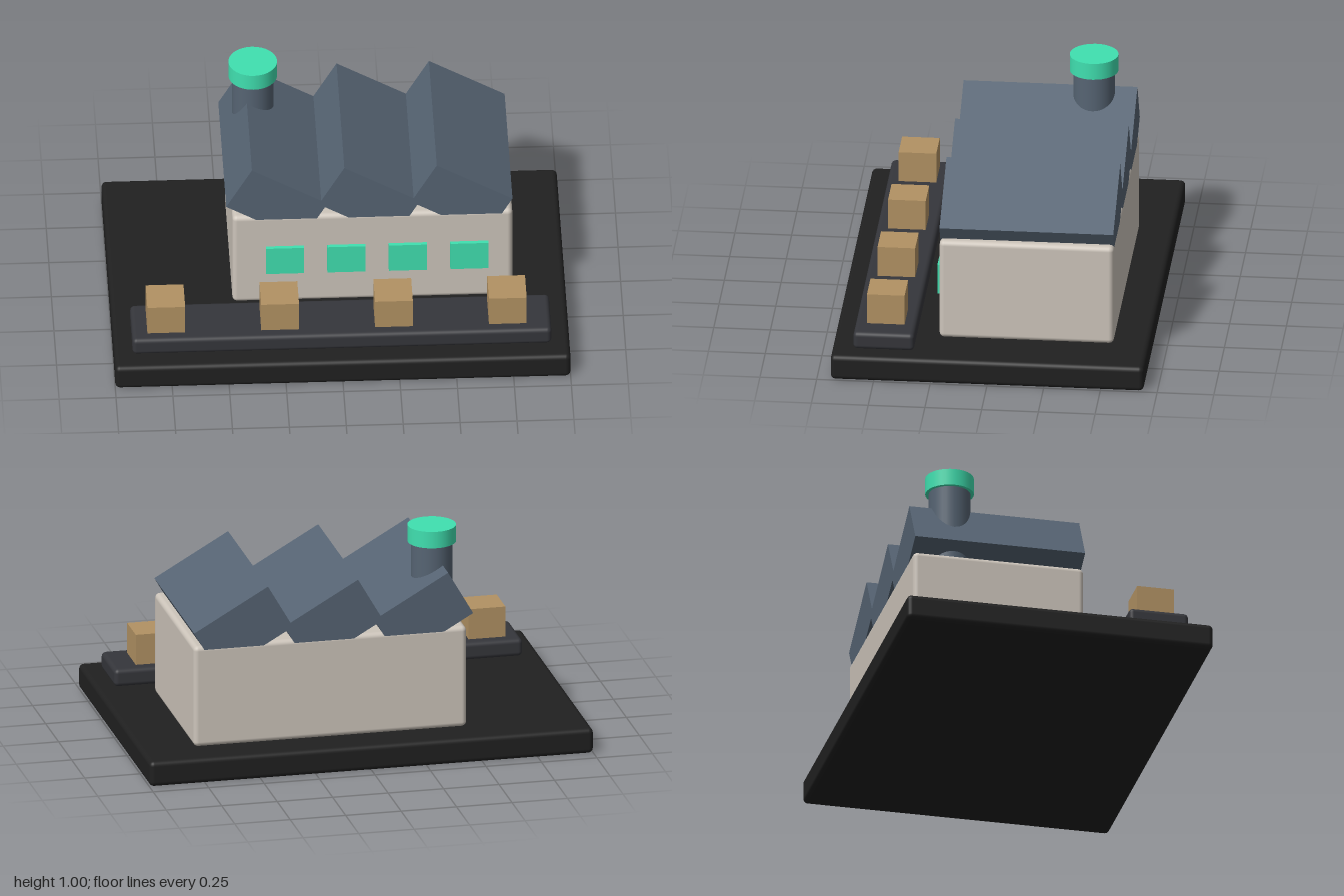
import * as THREE from 'three';
import { RoundedBoxGeometry } from 'three/addons/geometries/RoundedBoxGeometry.js';

const paint = (color) => new THREE.MeshStandardMaterial({ color });

export function createModel() {
  const model = new THREE.Group();
  model.name = 'factory';

  const black = paint(0x202020);
  const charcoal = paint(0x35363b);
  const plaster = paint(0xcdc5bb);
  const slate = paint(0x566473);
  const mint = paint(0x40e0b0);
  const cardboard = paint(0xb29263);

  const add = (name, geometry, material, x, y, z) => {
    const mesh = new THREE.Mesh(geometry, material);
    mesh.name = name;
    mesh.position.set(x, y, z);
    model.add(mesh);
    return mesh;
  };

  // Ground slab, loading belt and main hall with softened edges
  add('base', new RoundedBoxGeometry(2, 0.115, 1.38, 3, 0.022), black, 0, 0.0575, 0);
  add('conveyor', new RoundedBoxGeometry(1.84, 0.08, 0.268, 3, 0.02), charcoal, 0, 0.155, 0.463);
  add('hall', new RoundedBoxGeometry(1.23, 0.465, 0.768, 3, 0.022), plaster, 0.15, 0.3475, -0.152);

  // Sawtooth roof: tilted blocks sunk into the hall, a hair narrower than its walls
  const roofBlock = new THREE.BoxGeometry(0.384, 0.226, 0.766);
  for (let i = 0; i < 3; i++) {
    const tooth = add('roofTooth', roofBlock, slate, -0.27 + i * 0.406, 0.642, -0.152);
    tooth.rotation.z = -Math.PI / 6;
  }

  // Windows along the front wall
  const pane = new THREE.BoxGeometry(0.168, 0.138, 0.04);
  for (let i = 0; i < 4; i++) add('window', pane, mint, -0.235 + i * 0.27, 0.349, 0.23);

  // Chimney and its cap
  add('chimney', new THREE.CylinderGeometry(0.092, 0.092, 0.43, 32), slate, -0.35, 0.715, -0.347);
  add('chimneyCap', new THREE.CylinderGeometry(0.107, 0.107, 0.076, 32), mint, -0.35, 0.963, -0.347);

  // Crates riding on the belt
  const crate = new THREE.BoxGeometry(0.166, 0.14, 0.166);
  for (let i = 0; i < 4; i++) add('crate', crate, cardboard, -0.77 + i * 0.5, 0.264, 0.463);

  return model;
}
